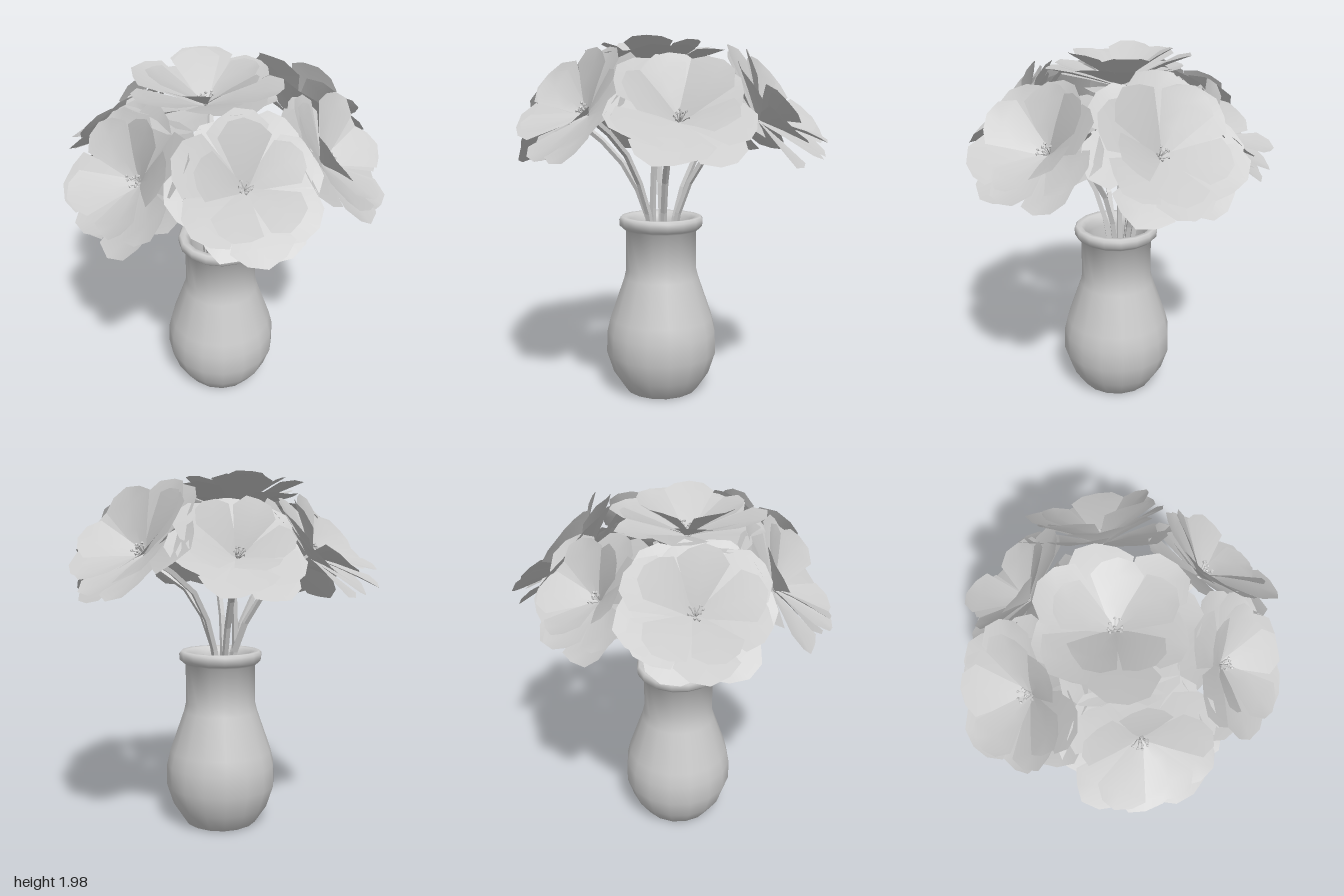
import * as THREE from 'three';
import { toCreasedNormals } from 'three/addons/utils/BufferGeometryUtils.js';

const solid = new THREE.MeshStandardMaterial({ color: 0xcccccc });
const flat = new THREE.MeshStandardMaterial({ color: 0xcccccc, flatShading: true });
const thin = new THREE.MeshStandardMaterial({ color: 0xcccccc, side: THREE.DoubleSide });
const V = (x, y, z) => new THREE.Vector3(x, y, z);
const UP = V(0, 1, 0);

// Small seeded generator for natural variation, returns -1..1
let seed = 11;
function jitter() {
  seed = (seed * 16807) % 2147483647;
  return (seed / 2147483647) * 2 - 1;
}

function part(name, geometry, material) {
  const mesh = new THREE.Mesh(geometry, material);
  mesh.name = name;
  return mesh;
}

// Vase: one closed profile, domed foot, rolled rim and hollow inside
function createVase() {
  const profile = [
    [0, 0.035], [0.1, 0.03], [0.16, 0.015], [0.19, 0], [0.207, 0.008], [0.275, 0.11], [0.314, 0.23],
    [0.311, 0.35], [0.292, 0.43], [0.212, 0.66], [0.2, 0.71], [0.2, 0.93], [0.215, 0.942],
    [0.234, 0.96], [0.237, 0.995], [0.225, 1.01], [0.198, 1.008], [0.178, 0.985], [0.17, 0.94],
    [0.17, 0.7], [0.26, 0.43], [0.28, 0.25], [0.18, 0.06], [0, 0.06],
  ].map(([r, y]) => new THREE.Vector2(r, y));
  const vase = part('vase', toCreasedNormals(new THREE.LatheGeometry(profile, 16), 1.1), solid);
  vase.position.set(-0.01, 0, 0.02);
  return vase;
}

// Petal: a plane widened, curved upward and cupped, with a pointed tip; grows along +z
const WIDTHS = [0.05, 0.24, 0.44, 0.26];
const STEPS = [0, 0.38, 0.76, 0.95];
function createPetal(length, slope, curl, width) {
  const g = new THREE.PlaneGeometry(2, 1, 2, 3);
  const p = g.attributes.position;
  const ragged = [jitter(), jitter(), jitter()];
  for (let i = 0; i < p.count; i++) {
    const row = Math.floor(i / 3), side = (i % 3) - 1;
    const tip = row === 3 ? (side === 0 ? 0.08 : ragged[i % 3] * 0.05) : 0;
    const t = STEPS[row] + tip;
    const angle = slope + curl * t;
    const w = WIDTHS[row] * width * length;
    p.setXYZ(i, side * w,
      Math.sin(angle) * t * length + Math.abs(side) * w * 0.14,
      Math.cos(angle) * t * length);
  }
  g.computeVertexNormals();
  return part('petal', g, thin);
}

// Rings of petals: count, length, slope, curl, width
const RINGS = [
  [5, 0.35, 0.62, -0.08, 0.85],
  [6, 0.39, 0.4, -0.06, 0.9],
  [6, 0.39, 0.2, -0.05, 0.9],
];

function createFlower(size) {
  const flower = new THREE.Group();
  flower.name = 'flower';
  RINGS.forEach(([count, length, slope, curl, width], ring) => {
    for (let i = 0; i < count; i++) {
      const petal = createPetal(size * length * (1 + 0.07 * jitter()), slope + 0.12 * jitter(), curl, width);
      petal.rotation.y = ((i + ring * 0.5 + 0.12 * jitter()) / count) * Math.PI * 2;
      petal.position.y = 0.012 - ring * 0.008;
      flower.add(petal);
    }
  });
  // Stamens: a little bunch of spikes with knobs
  for (let i = 0; i < 9; i++) {
    const stamen = new THREE.Group();
    stamen.name = 'stamen';
    const height = 0.07 + 0.015 * jitter();
    const filament = part('filament', new THREE.CylinderGeometry(0.002, 0.004, height, 3), flat);
    filament.position.y = height / 2;
    const anther = part('anther', new THREE.OctahedronGeometry(0.01), flat);
    anther.position.y = height;
    stamen.add(filament, anther);
    stamen.rotation.set(i ? 0.4 + 0.2 * jitter() : 0, i * 2.4, 0, 'YXZ');
    flower.add(stamen);
  }
  return flower;
}

// Stem: four-sided tube from inside the vase, bending into the flower axis
function createStem(head, normal, out) {
  const path = new THREE.CatmullRomCurve3([
    V(-0.035 + out.x * 0.03, 0.3, 0.01 + out.z * 0.03),
    V(-0.035 + out.x * 0.06, 1.0, 0.01 + out.z * 0.09),
    V(head.x * 0.45 - 0.04, head.y - 0.19, head.z * 0.52 + 0.01),
    head.clone().addScaledVector(normal, 0.005),
  ]);
  return part('stem', new THREE.TubeGeometry(path, 8, 0.018, 4), flat);
}

export function createModel() {
  const model = new THREE.Group();
  model.name = 'vaseWithFlowers';
  model.add(createVase());

  // Flower throats: x, y, z, tilt from vertical, size
  const heads = [
    [-0.08, 1.78, 0.05, 0.04, 0.98],
    [-0.26, 1.52, 0.45, 0.88, 0.98],
    [0.25, 1.57, 0.43, 0.85, 0.95],
    [0.51, 1.54, 0.01, 0.78, 0.97],
    [0.25, 1.55, -0.45, 0.85, 1.02],
    [-0.23, 1.53, -0.43, 0.78, 0.9],
    [-0.52, 1.54, -0.03, 0.78, 0.98],
  ];
  heads.forEach(([x, y, z, tilt, size]) => {
    const head = V(x, y, z);
    const out = V(x, 0, z).normalize();
    const normal = out.clone().multiplyScalar(Math.sin(tilt)).addScaledVector(UP, Math.cos(tilt));
    const flower = createFlower(size);
    flower.position.copy(head);
    flower.quaternion.setFromUnitVectors(UP, normal);
    model.add(flower, createStem(head, normal, out));
  });
  return model;
}
